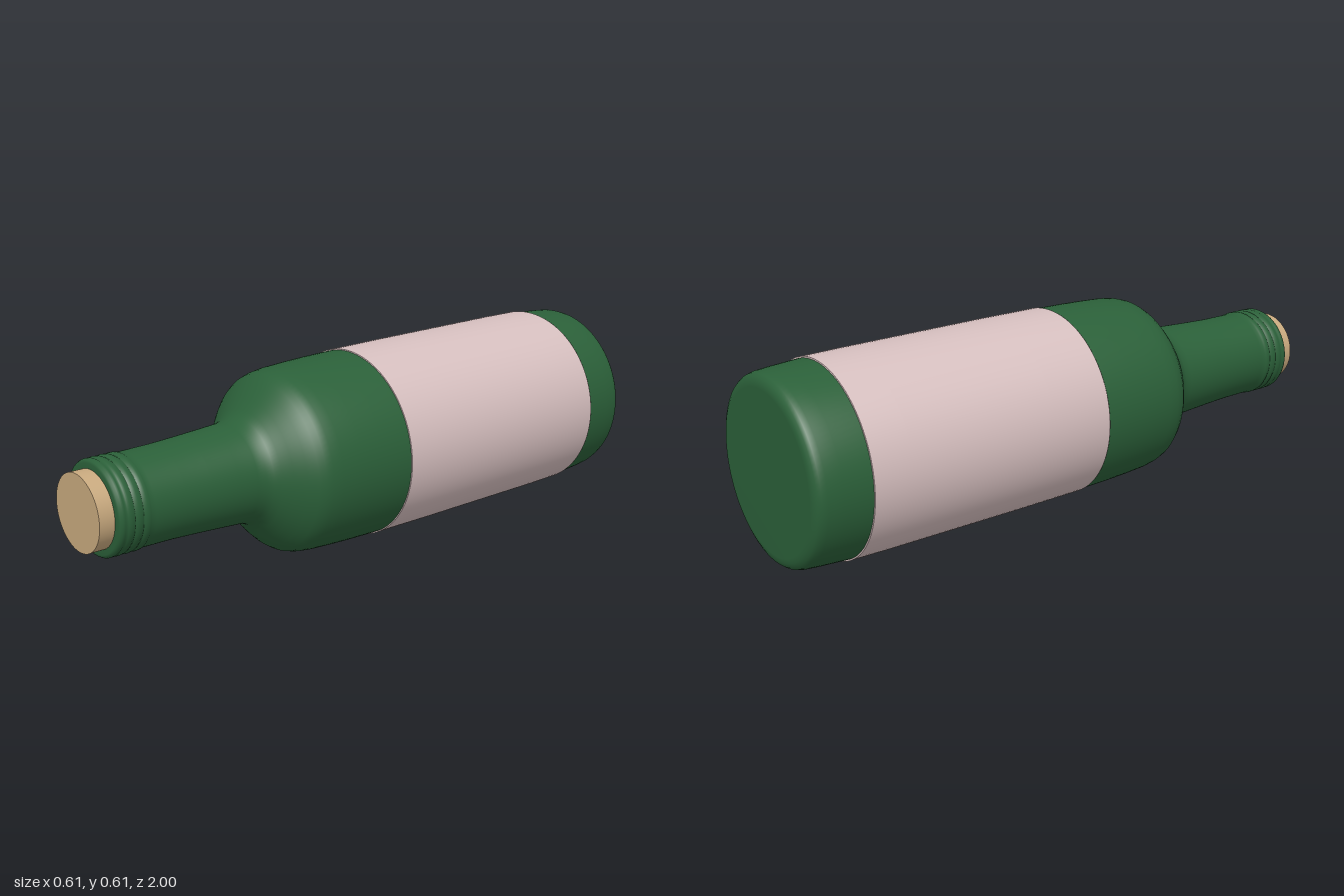
import * as THREE from 'three';

const SEGMENTS = 96;
const CENTRE_Y = 0.306;

// Revolves [radius, z] points around the bottle's lengthwise axis.
function revolve(name, points, color) {
  const geometry = new THREE.LatheGeometry(points.map(([r, z]) => new THREE.Vector2(r, z)), SEGMENTS);
  geometry.rotateX(Math.PI / 2);
  const mesh = new THREE.Mesh(geometry, new THREE.MeshStandardMaterial({ color }));
  mesh.name = name;
  return mesh;
}

export function createModel() {
  const bottle = new THREE.Group();
  bottle.name = 'bottle';

  // Glass: flat base, rounded heel, body, shoulder, neck
  const glass = [
    [0, -1], [0.25, -1], [0.265, -0.998], [0.278, -0.992], [0.286, -0.982], [0.291, -0.965],
    [0.295, -0.92], [0.3, -0.83], [0.302, -0.7], [0.302, -0.2], [0.301, 0.02],
    [0.299, 0.12], [0.296, 0.2], [0.292, 0.27], [0.287, 0.305], [0.28, 0.328], [0.268, 0.346],
    [0.245, 0.37], [0.215, 0.397], [0.188, 0.42], [0.171, 0.438], [0.161, 0.458], [0.156, 0.485],
    [0.152, 0.55], [0.147, 0.64], [0.143, 0.73], [0.142, 0.83],
  ];
  // Shallow rings below the mouth
  for (let i = 0; i < 3; i++) {
    const z = 0.845 + i * 0.028;
    glass.push([0.142, z], [0.145, z + 0.005], [0.146, z + 0.014], [0.145, z + 0.022], [0.142, z + 0.026]);
  }
  // Lip, closed in to the cork
  glass.push([0.145, 0.933], [0.145, 0.941], [0.141, 0.948], [0.134, 0.951], [0.115, 0.951]);
  bottle.add(revolve('glassBottle', glass, 0x2b6039));

  // Label wrapped around the body, with thin closed edges
  bottle.add(revolve('label', [
    [0.299, -0.828], [0.3045, -0.828], [0.3045, -0.827],
    [0.306, -0.7], [0.306, -0.2], [0.3045, 0.007], [0.3045, 0.008], [0.299, 0.008],
  ], 0xd6bfbf));

  // Cork
  const cork = new THREE.Mesh(
    new THREE.CylinderGeometry(0.118, 0.118, 0.12, SEGMENTS).rotateX(Math.PI / 2),
    new THREE.MeshStandardMaterial({ color: 0xc8a97e }),
  );
  cork.name = 'cork';
  cork.position.z = 0.94;
  bottle.add(cork);

  // Neck and cork sit slightly off centre, so the bottle shifts a touch
  bottle.position.set(-0.001, CENTRE_Y, 0);

  const model = new THREE.Group();
  model.name = 'corkedBottle';
  model.add(bottle);
  return model;
}
